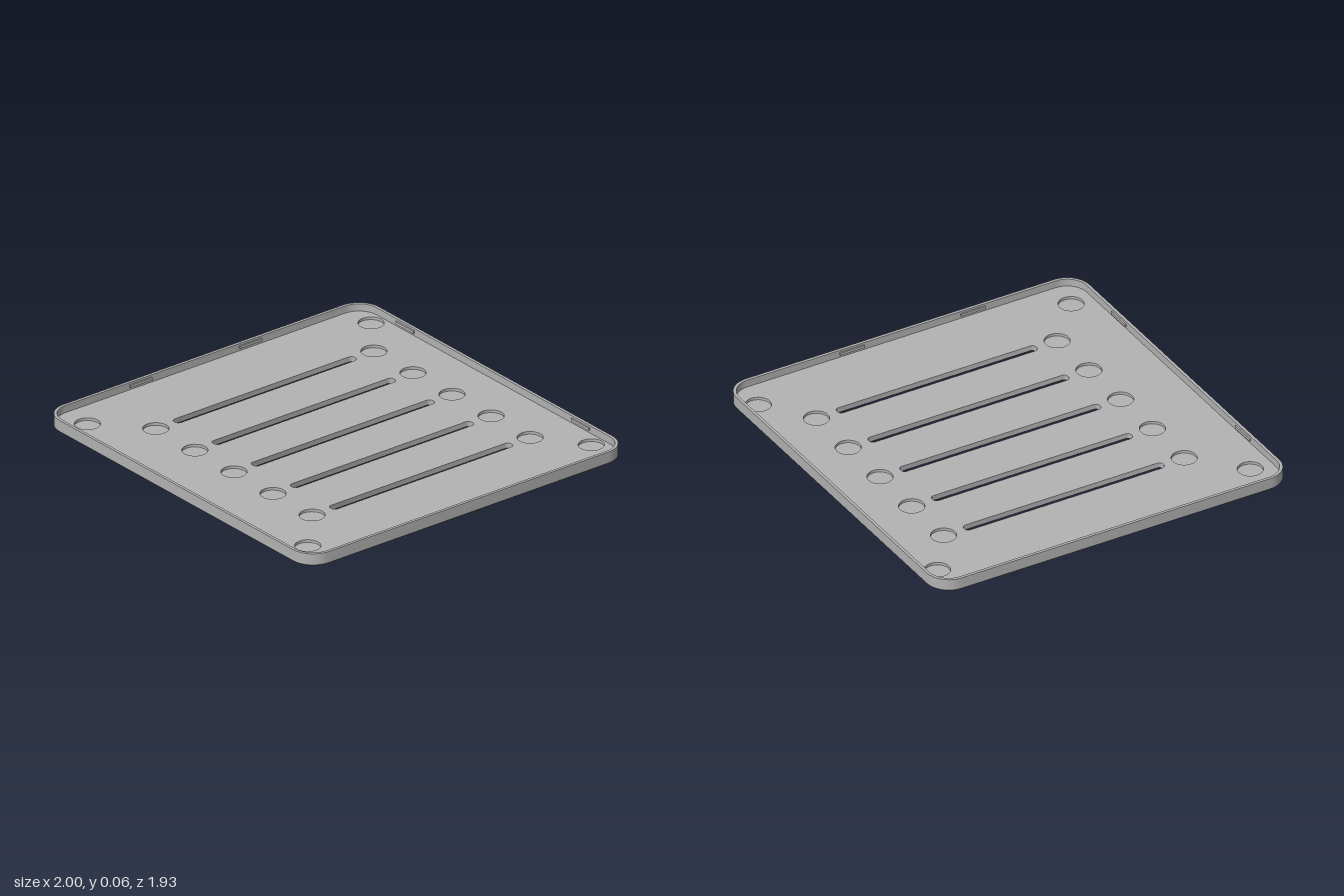
import * as THREE from 'three';
import { toCreasedNormals } from 'three/addons/utils/BufferGeometryUtils.js';

const HX = 1, HZ = 0.964, HEIGHT = 0.065, FLOOR = 0.027, POCKET = 0.013;
const WALL = 0.015, CORNER = 0.12, BEVEL = 0.007;

// Counter-clockwise outlines in plan, as Vector2(x, -z)
function roundedOutline(hx, hz, r, cx = 0, cz = 0, seg = 10) {
  const pts = [];
  [[1, 1], [-1, 1], [-1, -1], [1, -1]].forEach(([sx, sy], q) => {
    for (let i = 0; i <= seg; i++) {
      const a = (q + i / seg) * Math.PI / 2;
      pts.push(new THREE.Vector2(
        cx + sx * (hx - r) + r * Math.cos(a),
        -cz + sy * (hz - r) + r * Math.sin(a)));
    }
  });
  return pts;
}

function circleOutline(r, cx, cz, seg = 40) {
  return Array.from({ length: seg }, (_, i) => {
    const a = i / seg * Math.PI * 2;
    return new THREE.Vector2(cx + r * Math.cos(a), -cz + r * Math.sin(a));
  });
}

// Skin between successive outlines, each given as [points, height]
function loft(rings) {
  const pos = [], idx = [], n = rings[0][0].length;
  for (const [pts, y] of rings) for (const p of pts) pos.push(p.x, y, -p.y);
  for (let k = 0; k < rings.length - 1; k++) {
    for (let i = 0; i < n; i++) {
      const j = (i + 1) % n, a = k * n + i, b = k * n + j;
      idx.push(a, b, b + n, a, b + n, a + n);
    }
  }
  const geo = new THREE.BufferGeometry();
  geo.setAttribute('position', new THREE.Float32BufferAttribute(pos, 3));
  geo.setIndex(idx);
  return toCreasedNormals(geo, 0.5);
}

// Flat horizontal face with holes, facing up or down
function face(outline, holes, y, up) {
  const shape = new THREE.Shape(outline);
  shape.holes = holes.map(h => new THREE.Path(h));
  const geo = new THREE.ShapeGeometry(shape);
  geo.rotateX(-Math.PI / 2).translate(0, y, 0);
  if (!up) {
    const ix = geo.index.array;
    for (let i = 0; i < ix.length; i += 3) [ix[i], ix[i + 1]] = [ix[i + 1], ix[i]];
    geo.computeVertexNormals();
  }
  return geo;
}

export function createModel() {
  const group = new THREE.Group();
  group.name = 'slottedTray';
  const grey = new THREE.MeshStandardMaterial({ color: 0xb3b3b3 });
  grey.name = 'grey';
  const add = (name, geo) => {
    const mesh = new THREE.Mesh(geo, grey);
    mesh.name = name;
    group.add(mesh);
    return mesh;
  };

  const outer = roundedOutline(HX, HZ, CORNER);
  const bottom = roundedOutline(HX - BEVEL, HZ - BEVEL, CORNER - BEVEL);
  const inner = roundedOutline(HX - WALL, HZ - WALL, CORNER - WALL);

  // Five through slots, with a round pocket beyond each end
  const slots = [], pockets = [];
  for (let i = -2; i <= 2; i++) {
    const x = i * 0.294;
    slots.push(roundedOutline(0.024, 0.545, 0.02, x, -0.042, 5));
    for (const z of [-0.7, 0.616]) pockets.push(circleOutline(0.062, x, z));
  }
  // Corner pockets
  for (const x of [-0.829, 0.829]) {
    for (const z of [-0.876, 0.835]) pockets.push(circleOutline(0.062, x, z));
  }

  // Rim: bevelled foot, outer wall, top edge and inner wall
  add('rim', loft([[bottom, 0], [outer, BEVEL], [outer, HEIGHT], [inner, HEIGHT], [inner, FLOOR]]));
  add('floor', face(inner, [...slots, ...pockets], FLOOR, true));
  add('underside', face(bottom, slots, 0, false));
  for (const s of slots) add('slotWall', loft([[s, FLOOR], [s, 0]]));
  for (const p of pockets) {
    add('pocketWall', loft([[p, FLOOR], [p, POCKET]]));
    add('pocketFloor', face(p, [], POCKET, true));
  }

  // Small snap clips along the inner walls
  const clipLength = 0.133, clipDepth = 0.008, clipY = 0.047;
  const clip = (x, z, alongX) => add('snapClip', new THREE.BoxGeometry(
    alongX ? clipLength : clipDepth, 0.014, alongX ? clipDepth : clipLength))
    .position.set(x, clipY, z);
  const inset = WALL + clipDepth / 2;
  for (const s of [-1, 1]) {
    clip(s * 0.66, -(HZ - inset), true);
    clip(s * 0.574, HZ - inset, true);
    for (const z of [-0.272, 0.39]) clip(s * (HX - inset), z, false);
  }
  return group;
}
